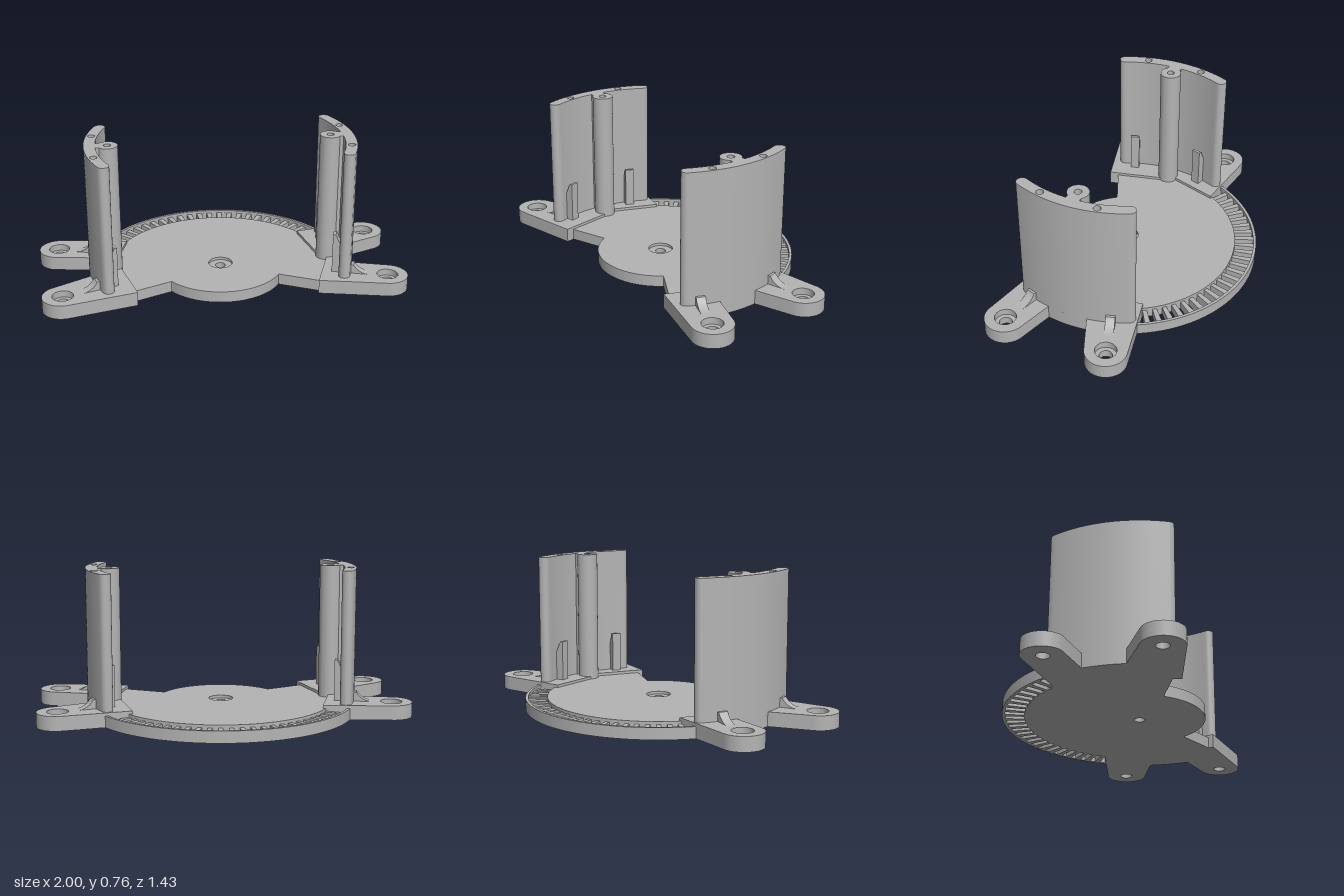
import * as THREE from 'three';
import { toCreasedNormals } from 'three/addons/utils/BufferGeometryUtils.js';

const grey = new THREE.MeshStandardMaterial({ color: 0xb4b4b4 });
grey.name = 'plain grey';

const RIM = 0.705, PLATE = 0.06, PAD = 0.075, TOP = 0.765;
const rad = THREE.MathUtils.degToRad;
const polar = (r, deg, cx = 0, cy = 0) =>
  new THREE.Vector2(cx + r * Math.cos(rad(deg)), cy + r * Math.sin(rad(deg)));

// Points along an arc, in plan (x, z)
function arc(cx, cy, r, a0, a1, n = 24) {
  return Array.from({ length: n + 1 }, (_, i) => polar(r, a0 + ((a1 - a0) * i) / n, cx, cy));
}
const circle = (cx, cy, r) => new THREE.Path(arc(cx, cy, r, 0, 360, 32).slice(0, -1));
const v = (x, y) => new THREE.Vector2(x, y);

function add(parent, name, geometry) {
  const mesh = new THREE.Mesh(toCreasedNormals(geometry, 0.5), grey);
  mesh.name = name;
  parent.add(mesh);
  return mesh;
}

// Plan outline raised from y0 to y1
function slab(parent, name, points, holes, y0, y1) {
  const shape = new THREE.Shape(points);
  shape.holes.push(...holes);
  const g = new THREE.ExtrudeGeometry(shape, { depth: y1 - y0, bevelEnabled: false });
  g.rotateX(Math.PI / 2).translate(0, y1, 0);
  return add(parent, name, g);
}

// Radial profile (r, y) given a width and turned to an angle
function radialRib(parent, name, points, width, deg) {
  const g = new THREE.ExtrudeGeometry(new THREE.Shape(points), { depth: width, bevelEnabled: false });
  g.translate(0, 0, -width / 2).rotateY(-rad(deg));
  return add(parent, name, g);
}

function buildPlate(parent) {
  const outline = [
    ...arc(0, 0, RIM, 3, -180, 96),
    v(-0.545, 0.035), v(-0.335, 0.045),
    ...arc(0, 0, 0.337, 172, 57, 40),
    v(0.32, 0.46), v(0.6, 0.2),
  ];
  // Slotted lower layer
  const slots = [];
  for (let i = 0; i < 25; i++) {
    const a = -125 + i * 5;
    slots.push(new THREE.Path([
      polar(0.59, a - 1.45), polar(0.69, a - 1.25), polar(0.69, a + 1.25), polar(0.59, a + 1.45),
    ]));
  }
  slab(parent, 'slottedPlate', outline, [circle(0, 0, 0.027), ...slots], 0, 0.045);
  // Upper layer with the ring groove and a wider centre bore
  const groove = new THREE.Path([
    ...arc(0, 0, 0.69, -127, -3, 60), ...arc(0, 0, 0.59, -3, -127, 60),
  ]);
  slab(parent, 'plateTop', outline, [circle(0, 0, 0.064), groove], 0.045, PLATE);
}

// One wall with its mounting pad, facing +x
function buildSide(name, d) {
  const side = new THREE.Group();
  side.name = name;
  const [l1, l2] = d.lugs;

  // Pad with two lugs, counterbored
  const outline = [
    d.cornerB,
    ...arc(l1.x, l1.y, 0.107, -75, 90),
    ...arc(0, 0, RIM, 17.8, 35.3, 10),
    ...arc(l2.x, l2.y, 0.107, -43, 131),
    d.cornerA, v(0.5, 0.285), v(0.495, 0.205),
  ];
  const bores = (r) => d.lugs.map((l) => circle(l.x, l.y, r));
  slab(side, 'padBase', outline, bores(0.033), 0, 0.04);
  slab(side, 'padTop', outline, bores(0.055), 0.04, PAD);

  // Curved wall with rounded ends and two screw holes
  const [a0, a1] = d.wall;
  const e0 = polar(0.675, a0 + 2.5), e1 = polar(0.675, a1 - 2.5);
  const wall = [
    ...arc(0, 0, RIM, a0 + 2.5, a1 - 2.5, 32),
    ...arc(e1.x, e1.y, 0.03, a1, a1 + 175, 12).slice(1),
    ...arc(0, 0, 0.645, a1 - 2.5, a0 + 2.5, 32).slice(1),
    ...arc(e0.x, e0.y, 0.03, a0 + 180, a0 + 355, 12).slice(1),
  ];
  const screws = d.screws.map((a) => { const p = polar(0.676, a); return circle(p.x, p.y, 0.019); });
  slab(side, 'curvedWall', wall, screws, PAD - 0.01, TOP);

  // Hollow post joined to the wall by a thin web
  const p = polar(0.583, d.post);
  slab(side, 'screwPost', arc(p.x, p.y, 0.055, 0, 360, 40).slice(0, -1),
    [circle(p.x, p.y, 0.019)], PLATE - 0.01, TOP);
  radialRib(side, 'postWeb',
    [v(0.61, PAD - 0.01), v(0.655, PAD - 0.01), v(0.655, TOP), v(0.61, TOP)], 0.07, d.post);

  // Inner uprights with sloped tops, and outer concave braces
  for (const a of d.ribs) {
    radialRib(side, 'innerUpright', [
      v(0.603, PAD - 0.01), v(0.652, PAD - 0.01), v(0.652, 0.215), v(0.618, 0.29), v(0.603, 0.29),
    ], 0.048, a);
    const curve = arc(0.8, 0.17, 0.095, 270, 210, 10);
    radialRib(side, 'outerBrace', [
      v(0.69, PAD - 0.01), v(0.8, PAD - 0.01), ...curve, v(0.69, 0.123),
    ], 0.048, a);
  }
  return side;
}

export function createModel() {
  const model = new THREE.Group();
  model.name = 'slottedDiscBracket';
  const body = new THREE.Group();
  body.name = 'bracketBody';
  body.position.z = -0.015;
  model.add(body);

  buildPlate(body);
  const left = buildSide('leftSide', {
    lugs: [v(0.89, 0.122), v(0.647, 0.619)],
    cornerA: v(0.3, 0.48), cornerB: v(0.567, -0.07),
    wall: [-2.5, 51.5], screws: [13, 38.6], post: 24.4, ribs: [7.8, 43.8],
  });
  const right = buildSide('rightSide', {
    lugs: [v(0.893, 0.097), v(0.668, 0.6)],
    cornerA: v(0.31, 0.485), cornerB: v(0.556, -0.079),
    wall: [-1.5, 53], screws: [11.9, 38.4], post: 25.9, ribs: [6.2, 42.2],
  });
  right.rotation.y = Math.PI;
  body.add(left, right);
  return model;
}
